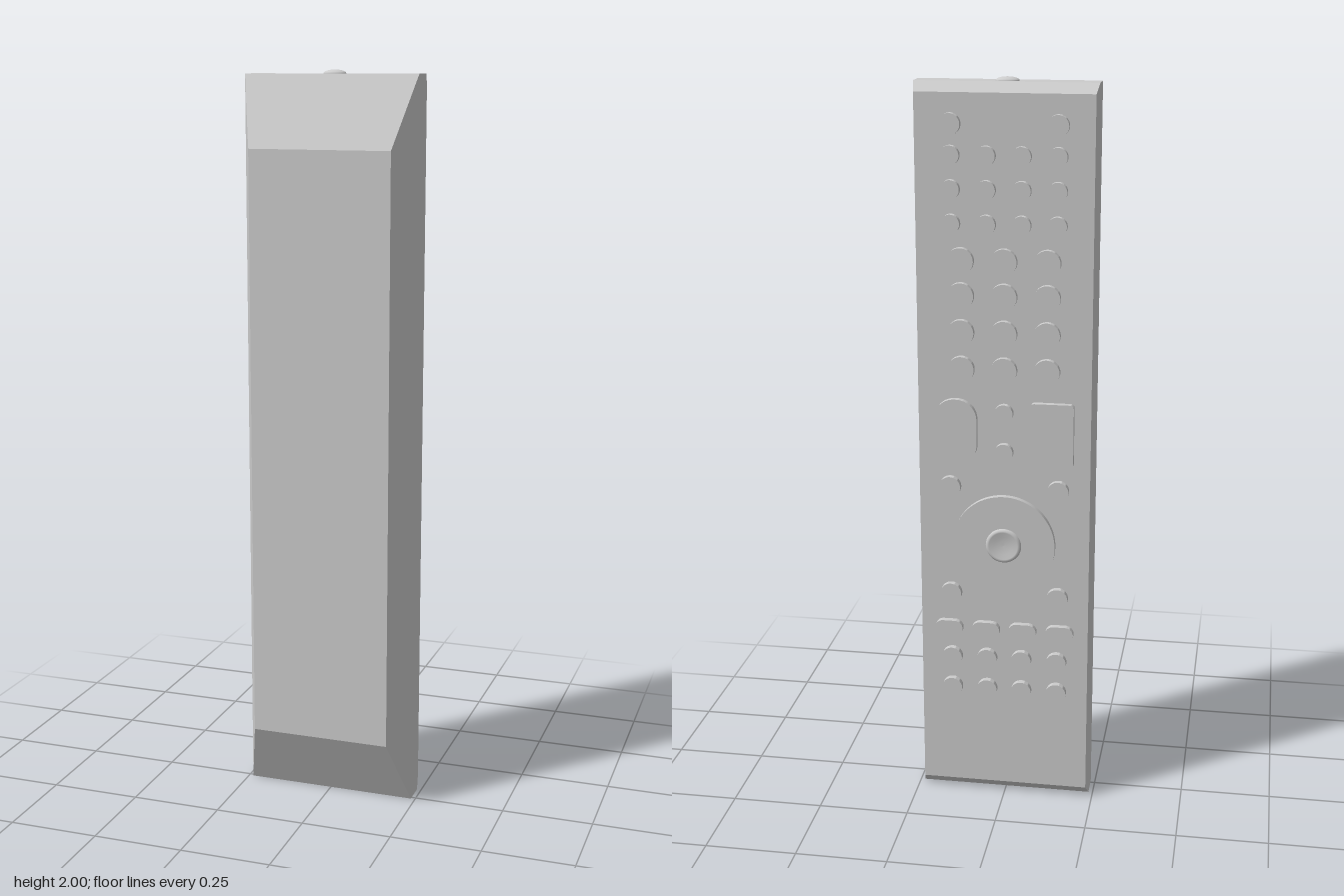
import * as THREE from 'three';
import { toCreasedNormals } from 'three/addons/utils/BufferGeometryUtils.js';

const FACE_Z = -0.085; // keypad face of the body
const KEY_Z = -0.102; // top of the keys

const material = new THREE.MeshStandardMaterial({ color: 0xcccccc });

// Faceted case: rectangles [z, half width, bottom, top] joined from back to front
function bodyGeometry() {
  const sections = [
    [FACE_Z, 0.232, 0.03, 1.965],
    [-0.055, 0.238, 0, 1.99],
    [0.008, 0.238, 0, 1.99],
    [0.105, 0.193, 0.19, 1.8],
  ];
  const points = [];
  for (const [z, w, y0, y1] of sections) points.push(-w, y0, z, w, y0, z, w, y1, z, -w, y1, z);
  const index = [0, 2, 1, 0, 3, 2];
  for (let s = 0; s < sections.length - 1; s++) {
    for (let i = 0; i < 4; i++) {
      const a = s * 4 + i, b = s * 4 + (i + 1) % 4;
      index.push(a, b, b + 4, a, b + 4, a + 4);
    }
  }
  const e = (sections.length - 1) * 4;
  index.push(e, e + 1, e + 2, e, e + 2, e + 3);
  const indexed = new THREE.BufferGeometry();
  indexed.setAttribute('position', new THREE.Float32BufferAttribute(points, 3));
  indexed.setIndex(index);
  const geometry = indexed.toNonIndexed();
  geometry.computeVertexNormals();
  return geometry;
}

// Key with rounded corners; r = half the size gives a round key or a pill
function keyGeometry(w, h, r) {
  const x = w / 2 - r, y = h / 2 - r;
  const shape = new THREE.Shape();
  shape.absarc(x, y, r, 0, Math.PI / 2);
  shape.absarc(-x, y, r, Math.PI / 2, Math.PI);
  shape.absarc(-x, -y, r, Math.PI, Math.PI * 1.5);
  shape.absarc(x, -y, r, Math.PI * 1.5, Math.PI * 2);
  const geometry = new THREE.ExtrudeGeometry(shape, {
    depth: FACE_Z - KEY_Z + 0.004, bevelEnabled: false, curveSegments: 10,
  });
  return toCreasedNormals(geometry, 0.6);
}

export function createModel() {
  const model = new THREE.Group();
  const add = (parent, name, geometry, x = 0, y = 0, z = 0) => {
    const mesh = new THREE.Mesh(geometry, material);
    mesh.name = name;
    mesh.position.set(x, y, z);
    parent.add(mesh);
    return mesh;
  };
  // A grid of equal keys
  const keys = (name, w, h, r, xs, ys) => {
    const group = new THREE.Group();
    group.name = name;
    const geometry = keyGeometry(w, h, r);
    for (const y of ys) for (const x of xs) add(group, 'key', geometry, x, y, KEY_Z);
    model.add(group);
  };
  const round = (name, r, xs, ys) => keys(name, 2 * r, 2 * r, r, xs, ys);

  add(model, 'body', bodyGeometry());

  // Signal window on the top edge
  add(model, 'signalWindow', new THREE.SphereGeometry(1, 32, 16), 0, 1.99, -0.025)
    .scale.set(0.031, 0.01, 0.02);

  // Keypad, from top to bottom
  round('powerKeys', 0.028, [-0.139, 0.139], [1.887]);
  round('functionKeys', 0.025, [-0.139, -0.046, 0.046, 0.139], [1.809, 1.722, 1.634]);
  round('numberKeys', 0.035, [-0.114, 0, 0.114], [1.538, 1.446, 1.348, 1.249]);
  keys('volumeKey', 0.115, 0.18, 0.055, [0.13], [1.077]);
  keys('channelKey', 0.115, 0.175, 0.01, [-0.13], [1.077]);
  round('middleKeys', 0.025, [0], [1.132, 1.023]);
  round('cornerKeys', 0.029, [-0.147, 0.147], [0.92, 0.61]);
  round('navigationDisc', 0.14, [0], [0.76]);
  keys('colourKeys', 0.078, 0.046, 0.023, [-0.154, -0.051, 0.051, 0.154], [0.505]);
  round('playbackKeys', 0.028, [-0.146, -0.048, 0.048, 0.146], [0.418, 0.325]);

  // Raised, dished key in the middle of the disc
  const profile = [
    [0.05, -0.002], [0.047, 0.003], [0.043, 0.006], [0.039, 0.0055], [0.025, 0.0025], [0.012, 0.001], [0, 0.0005],
  ].map(([r, h]) => new THREE.Vector2(r, h));
  add(model, 'selectKey', new THREE.LatheGeometry(profile, 40), 0, 0.76, KEY_Z)
    .rotation.x = -Math.PI / 2;

  return model;
}
